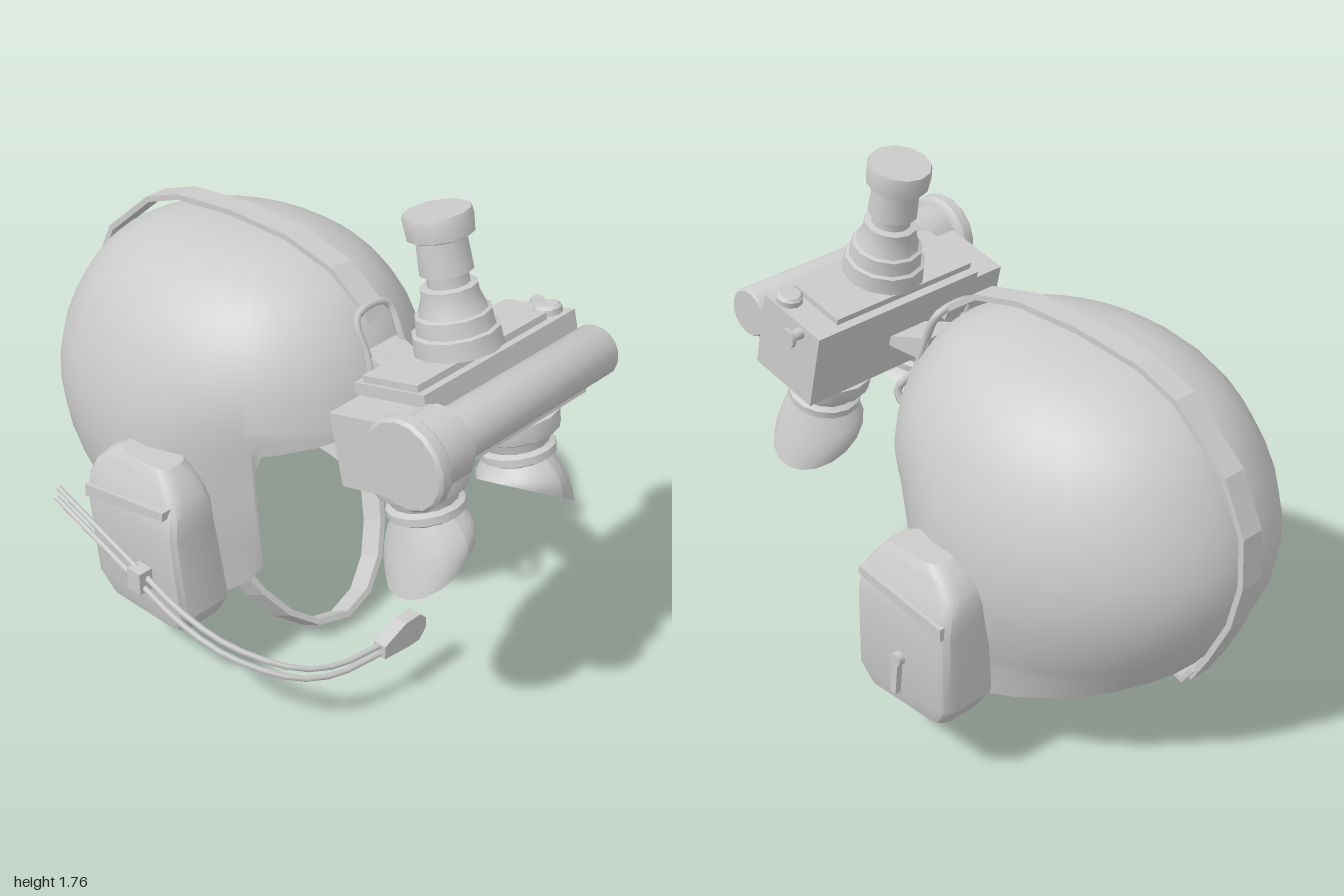
import * as THREE from 'three';
import { toCreasedNormals } from 'three/addons/utils/BufferGeometryUtils.js';

const V = (x, y, z) => new THREE.Vector3(x, y, z);
const clamp01 = v => Math.min(1, Math.max(0, v));

export function createModel() {
  const root = new THREE.Group();
  const mat = new THREE.MeshStandardMaterial({ color: 0xcccccc, side: THREE.DoubleSide });

  function add(parent, name, geo, pos = [0, 0, 0], rot = [0, 0, 0]) {
    const mesh = new THREE.Mesh(geo, mat);
    mesh.name = name;
    mesh.position.set(...pos);
    mesh.rotation.set(...rot);
    parent.add(mesh);
    return mesh;
  }
  const box = (w, h, d) => new THREE.BoxGeometry(w, h, d);
  const lathe = (pts, n = 12) =>
    toCreasedNormals(new THREE.LatheGeometry(pts.map(p => new THREE.Vector2(...p)), n), 0.7);
  function mesh3(pos, idx) {
    const g = new THREE.BufferGeometry();
    g.setAttribute('position', new THREE.Float32BufferAttribute(pos, 3));
    g.setIndex(idx);
    g.computeVertexNormals();
    return g;
  }

  // Outline extruded to width w, centred on z
  const prism = (pts, w) => new THREE.ExtrudeGeometry(new THREE.Shape(pts.map(p => new THREE.Vector2(p[0], p[1]))),
    { depth: w, bevelEnabled: false }).translate(0, 0, -w / 2);
  // Flat band: a 2D path thickened by t
  function band(path, w, t) {
    const pts = path.map(p => new THREE.Vector2(...p));
    const side = k => pts.map((p, i) => {
      const d = pts[Math.min(i + 1, pts.length - 1)].clone().sub(pts[Math.max(i - 1, 0)]).normalize();
      return [p.x - d.y * t * k, p.y + d.x * t * k];
    });
    return prism([...side(0.5), ...side(-0.5).reverse()], w);
  }
  // Turns a (z, y) outline into the side plane
  const sideways = g => g.rotateY(-Math.PI / 2);

  // ---- Helmet shell: levels of [y, front z, back z, half width], cut along a rim
  const levels = [
    [1.42, -0.15, -0.15, 0], [1.41, 0, -0.34, 0.12], [1.38, 0.1, -0.54, 0.235], [1.33, 0.2, -0.66, 0.33],
    [1.25, 0.28, -0.78, 0.415], [1.13, 0.35, -0.875, 0.49], [0.95, 0.4, -0.955, 0.55], [0.8, 0.41, -0.972, 0.563],
    [0.65, 0.4, -0.935, 0.55], [0.5, 0.38, -0.85, 0.515], [0.42, 0.36, -0.79, 0.49], [0.23, 0.34, -0.72, 0.45],
  ];
  const zCurve = new THREE.CatmullRomCurve3(levels.map(l => V(l[0], l[1], l[2])));
  const wCurve = new THREE.CatmullRomCurve3(levels.map(l => V(l[3], 0, 0)));
  // Rim height by angle from the front, in degrees
  const rim = [[0, 0.95], [15, 0.945], [30, 0.92], [42, 0.895], [48, 0.88], [51, 0.81], [52, 0.4], [58, 0.33],
    [65, 0.285], [72, 0.25], [80, 0.23], [90, 0.25], [100, 0.275], [112, 0.305], [124, 0.335], [136, 0.36],
    [148, 0.385], [160, 0.405], [170, 0.415], [180, 0.42]];
  const levelAt = y => {
    const i = Math.max(1, levels.findIndex(l => l[0] <= y + 1e-6));
    return (i - 1 + (levels[i - 1][0] - y) / (levels[i - 1][0] - levels[i][0])) / (levels.length - 1);
  };
  const columns = [...rim, ...rim.slice(1, -1).reverse().map(([a, y]) => [360 - a, y])];
  const crownRows = 11, rows = 18, pos = [], idx = [], n = columns.length;
  for (const [deg, yRim] of columns) {
    const a = deg * Math.PI / 180, end = levelAt(yRim), split = Math.min(levelAt(0.97), end * 0.97);
    for (let r = 0; r <= rows; r++) {
      const t = r <= crownRows ? split * r / crownRows : split + (end - split) * (r - crownRows) / (rows - crownRows);
      const p = zCurve.getPoint(t);
      // The front edges of the ear flaps curl inward
      const curl = clamp01((78 - Math.min(deg, 360 - deg)) / 26) * clamp01((1.05 - p.x) / 0.25);
      const w = wCurve.getPoint(t).x * (1 - 0.14 * curl);
      pos.push(0.01 + w * Math.sin(a), p.x, (p.y + p.z) / 2 + (p.y - p.z) / 2 * Math.cos(a));
    }
  }
  for (let c = 0; c < n; c++) for (let r = 0; r < rows; r++) {
    const a = c * (rows + 1) + r, b = ((c + 1) % n) * (rows + 1) + r;
    if (r > 0) idx.push(a, a + 1, b);
    idx.push(b, a + 1, b + 1);
  }
  const shell = mesh3(pos, idx);
  // All columns share the crown point
  for (let c = 0; c < n; c++) shell.attributes.normal.setXYZ(c * (rows + 1), 0, 1, 0);
  add(root, 'helmetShell', shell);

  // ---- Strap over the crown, a wire clip over the brow and a hook at the back
  add(root, 'crownStrap', sideways(band([[0.3, 1.27], [0.28, 1.31], [0.15, 1.4],
    [-0.05, 1.445], [-0.3, 1.445], [-0.55, 1.415], [-0.7, 1.355], [-0.9, 1.175], [-0.98, 1.0], [-0.988, 0.83],
    [-0.952, 0.67], [-0.875, 0.51], [-0.81, 0.4]], 0.085, 0.02)), [0.022, 0, 0]);
  const clipSide = [[0.07, 1.3, 0.29], [0.08, 1.18, 0.35], [0.09, 1.06, 0.39], [0.115, 0.97, 0.455], [0.115, 0.925, 0.43],
    [0.09, 0.915, 0.375]];
  const clipPath = new THREE.CatmullRomCurve3([...clipSide.map(([x, y, z]) => V(x, y, z)),
    ...clipSide.map(([x, y, z]) => V(-x, y, z)).reverse()], true, 'centripetal');
  add(root, 'browClip', new THREE.TubeGeometry(clipPath, 48, 0.014, 6, true), [0.02, 0, 0]);
  add(root, 'rearHook', sideways(band([[-0.83, 0.45], [-0.79, 0.39], [-0.72, 0.42]], 0.12, 0.02)), [0.02, 0, 0]);

  // ---- Chin strap, hanging tilted from the ear flaps
  add(root, 'chinStrap', band([[-0.35, 0.47], [-0.33, 0.38], [-0.27, 0.24], [-0.2, 0.13], [-0.1, 0.045], [0.03, 0.012],
    [0.15, 0.045], [0.25, 0.13], [0.32, 0.24], [0.37, 0.38], [0.39, 0.47]], 0.09, 0.022), [0, 0.02, 0.17], [-0.5, 0, 0]);

  // ---- Ear cups: stacked sections of [y, front z, back z, inner x, outer x]
  const cupRows = [[0.26, -0.03, -0.28, 0.51, 0.66], [0.28, 0.03, -0.325, 0.485, 0.685], [0.35, 0.065, -0.37, 0.48, 0.7],
    [0.65, 0.04, -0.39, 0.512, 0.715], [0.72, 0.033, -0.39, 0.515, 0.705], [0.77, 0.01, -0.375, 0.52, 0.685],
    [0.82, -0.03, -0.33, 0.53, 0.67], [0.85, -0.06, -0.28, 0.54, 0.655]];
  function cupGeometry() {
    const p = [], f = [], m = 16, c = 0.045;
    for (const [y, zf, zb, xi, xo] of cupRows) for (let j = 0; j < m; j++) {
      const k = Math.floor(j / 4), a = (k + (j % 4) / 3 - 1) * Math.PI / 2;
      const cx = k < 2 ? xo - c : xi + c, cz = k === 0 || k === 3 ? zf - c : zb + c;
      p.push(cx + c * Math.cos(a), y, cz - c * Math.sin(a));
    }
    for (let i = 0; i < cupRows.length - 1; i++) for (let j = 0; j < m; j++) {
      const a = i * m + j, b = i * m + (j + 1) % m;
      f.push(a, b, b + m, a, b + m, a + m);
    }
    const top = (cupRows.length - 1) * m;
    for (let j = 1; j < m - 1; j++) f.push(0, j + 1, j, top, top + j, top + j + 1);
    return toCreasedNormals(mesh3(p, f), 0.5);
  }
  function earCup(name, side, x, z) {
    const g = new THREE.Group();
    g.name = name;
    g.scale.x = side;
    g.position.set(x, 0, z);
    add(g, 'cup', cupGeometry());
    add(g, 'ridge', sideways(prism([[0.0, 0.755], [0.0, 0.725], [-0.37, 0.65], [-0.37, 0.695]], 0.04)), [0.7, 0, 0]);
    root.add(g);
    return g;
  }
  const leftCup = earCup('leftEarCup', 1, 0, 0);
  earCup('rightEarCup', -1, 0.045, 0.05);
  add(leftCup, 'latchPivot', new THREE.CylinderGeometry(0.024, 0.024, 0.04, 10), [0.71, 0.48, -0.165], [0, 0, Math.PI / 2]);
  add(leftCup, 'latchLever', box(0.022, 0.14, 0.025), [0.715, 0.41, -0.155], [-0.12, 0, 0]);

  // ---- Microphone on a twin-rod boom
  const boom = new THREE.Group();
  boom.name = 'microphoneBoom';
  root.add(boom);
  for (const o of [-0.016, 0.016]) {
    const path = new THREE.CatmullRomCurve3([V(-0.72, 0.64, -0.41), V(-0.69, 0.47, -0.06), V(-0.67, 0.38, 0.12),
      V(-0.62, 0.31, 0.29), V(-0.5, 0.25, 0.46), V(-0.38, 0.225, 0.52), V(-0.18, 0.22, 0.55)].map(v => v.add(V(o * 0.4, o, 0))));
    add(boom, 'rod', new THREE.TubeGeometry(path, 18, 0.011, 6));
  }
  add(boom, 'bracket', box(0.06, 0.08, 0.06), [-0.685, 0.46, -0.055]);
  // Paddle-shaped microphone
  add(boom, 'microphone', prism([[-0.2, 0.195], [-0.2, 0.245], [-0.1, 0.285], [-0.03, 0.285], [0, 0.255], [0, 0.215],
    [-0.03, 0.18], [-0.08, 0.18]], 0.05), [0, 0, 0.55]);

  // ---- Wedge that carries the goggles on the helmet
  add(root, 'mountWedge', sideways(prism([[0.33, 1.195], [0.36, 1.187], [0.56, 1.12], [0.56, 1.095], [0.36, 1.1]], 0.16)),
    [0.02, 0, 0]);

  // ---- Goggles, tilted back
  const goggles = new THREE.Group();
  goggles.name = 'goggles';
  goggles.position.set(0, 1.18, 0.655);
  goggles.rotation.x = -0.25;
  root.add(goggles);
  add(goggles, 'body', box(0.71, 0.28, 0.28), [0.075, -0.03, 0]);
  add(goggles, 'bodyStep', box(0.14, 0.24, 0.25), [-0.345, -0.05, 0]);
  add(goggles, 'topPlate', box(0.6, 0.025, 0.22), [0.03, 0.12, 0]);

  // Sideways scope with a flared end
  add(goggles, 'scope', lathe([[0, -0.43], [0.08, -0.43], [0.086, -0.42], [0.086, 0.29], [0.118, 0.295], [0.118, 0.42],
    [0.138, 0.425], [0.148, 0.435], [0.148, 0.47], [0.138, 0.48], [0, 0.48]], 16), [0, -0.015, 0.208], [0, 0, Math.PI / 2]);
  // Upright tube
  add(goggles, 'uprightTube', lathe([[0, 0.12], [0.142, 0.13], [0.138, 0.19], [0.125, 0.195], [0.12, 0.245], [0.108, 0.25],
    [0.092, 0.295], [0.09, 0.33], [0.067, 0.335], [0.067, 0.37], [0.085, 0.375], [0.08, 0.48], [0.105, 0.49],
    [0.11, 0.545], [0.104, 0.563], [0, 0.563]]), [0.02, 0, 0.02]);
  // Knobs
  add(goggles, 'endKnob', lathe([[0, 0], [0.02, 0], [0.018, 0.045], [0.034, 0.05], [0.034, 0.065], [0, 0.065]], 10),
    [0.425, 0.08, -0.05], [0, 0, -Math.PI / 2]);
  add(goggles, 'topKnob', lathe([[0, 0], [0.046, 0], [0.046, 0.05], [0.036, 0.06], [0, 0.06]], 10), [0.38, 0.08, 0.075]);

  // Eyepieces with slanted rubber eyecups
  for (const s of [-1, 1]) {
    const eye = new THREE.Group();
    eye.name = s > 0 ? 'leftEyepiece' : 'rightEyepiece';
    eye.position.set(0.01 + s * 0.22, 0, 0);
    goggles.add(eye);
    add(eye, 'barrel', lathe([[0.1, -0.33], [0.125, -0.315], [0.125, -0.29], [0.105, -0.28], [0.115, -0.25], [0.145, -0.235],
      [0.152, -0.21], [0.152, -0.175], [0, -0.165]], 14));
    const cup = new THREE.CylinderGeometry(0.1, 0.15, 1, 18, 5, true);
    const p = cup.attributes.position;
    for (let i = 0; i < p.count; i++) {
      const t = 0.5 - p.getY(i), x = p.getX(i);
      // The outer side reaches further down than the inner side
      p.setXYZ(i, x + s * 0.01 * t, -0.31 - t * (0.145 + s * x * 0.62), p.getZ(i) * (1 + 0.2 * Math.sin(Math.PI * t)) - 0.005 * t);
    }
    cup.computeVertexNormals();
    add(eye, 'eyecup', cup);
    add(eye, 'lens', new THREE.CircleGeometry(0.1, 18), [0, -0.335, 0], [Math.PI / 2, 0, 0]);
  }
  return root;
}
